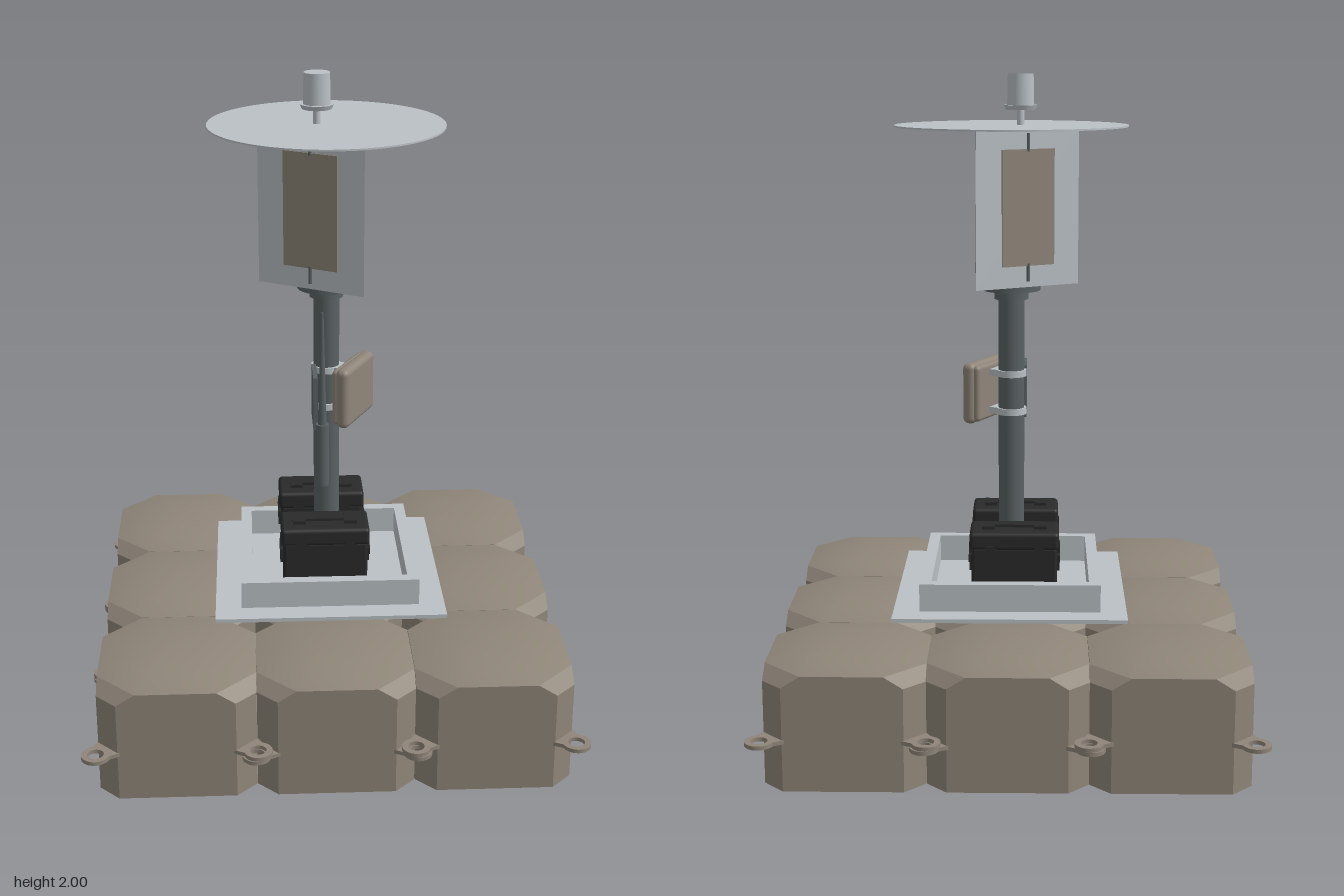
import * as THREE from 'three';
import { toCreasedNormals } from 'three/addons/utils/BufferGeometryUtils.js';
import { RoundedBoxGeometry } from 'three/addons/geometries/RoundedBoxGeometry.js';

const material = (name, color) => Object.assign(new THREE.MeshStandardMaterial({ color }), { name });

export function createModel() {
  const taupe = material('taupe plastic', 0x8f8579);
  const light = material('light grey metal', 0xbac1c5);
  const dark = material('dark grey metal', 0x5a6263);
  const black = material('black plastic', 0x2a2a2a);

  const model = new THREE.Group();
  model.name = 'floatingMonitoringStation';

  const add = (parent, name, geo, mat, x = 0, y = 0, z = 0) => {
    const mesh = new THREE.Mesh(geo, mat);
    mesh.name = name;
    mesh.position.set(x, y, z);
    parent.add(mesh);
    return mesh;
  };
  const group = (name, parent = model) => {
    const g = new THREE.Group();
    g.name = name;
    parent.add(g);
    return g;
  };
  const box = (w, h, d) => new THREE.BoxGeometry(w, h, d);
  const cyl = (r1, r2, h, n = 32) => new THREE.CylinderGeometry(r1, r2, h, n);

  // Float block: lofted octagons given as [half width, corner cut, height]
  function floatGeometry() {
    const sections = [[0, 0, 0], [0.233, 0.06, 0], [0.233, 0.06, 0.31], [0.233, 0.115, 0.345],
      [0.16, 0.075, 0.367], [0.08, 0.035, 0.378], [0, 0, 0.38]];
    const pos = [], index = [];
    for (const [h, c, y] of sections) {
      const k = h - c;
      for (const [x, z] of [[h, -k], [h, k], [k, h], [-k, h], [-h, k], [-h, -k], [-k, -h], [k, -h]]) pos.push(x, y, z);
    }
    for (let i = 0; i < sections.length - 1; i++) {
      for (let j = 0; j < 8; j++) {
        const a = i * 8 + j, b = i * 8 + (j + 1) % 8;
        if (i < sections.length - 2) index.push(a, a + 8, b + 8);
        if (i > 0) index.push(a, b + 8, b);
      }
    }
    const geo = new THREE.BufferGeometry();
    geo.setAttribute('position', new THREE.Float32BufferAttribute(pos, 3));
    geo.setIndex(index);
    geo.computeVertexNormals();
    return toCreasedNormals(geo, 0.4);
  }

  // Coupling lug: flat tab with a rounded eye, pointing along +x
  function lugGeometry() {
    const s = new THREE.Shape();
    s.moveTo(-0.06, -0.05);
    s.lineTo(-0.02, -0.037);
    s.absarc(0, 0, 0.042, -2.07, 2.07, false);
    s.lineTo(-0.06, 0.05);
    s.closePath();
    const hole = new THREE.Path();
    hole.absarc(0, 0, 0.024, 0, Math.PI * 2, true);
    s.holes.push(hole);
    const geo = new THREE.ExtrudeGeometry(s, { depth: 0.012, bevelEnabled: false, curveSegments: 16 });
    return geo.translate(0, 0, -0.006).rotateX(-Math.PI / 2);
  }

  // Raft of nine floats, lugs alternating in height so neighbours overlap
  const raft = group('raft');
  const floatGeo = floatGeometry(), lugGeo = lugGeometry();
  for (let i = -1; i <= 1; i++) {
    for (let j = -1; j <= 1; j++) {
      const block = group('float', raft);
      block.position.set(i * 0.467, 0, j * 0.467);
      add(block, 'floatBody', floatGeo, taupe);
      const y = (i + j) % 2 === 0 ? 0.149 : 0.136;
      for (const sx of [-1, 1]) for (const sz of [-1, 1]) {
        add(block, 'couplingLug', lugGeo, taupe, sx * 0.236, y, sz * 0.236).rotation.y = -Math.atan2(sz, sx);
      }
    }
  }

  // Deck plate with an open tray
  const deck = group('deck');
  add(deck, 'deckPlate', box(0.71, 0.012, 0.71), light, 0, 0.392, 0);
  for (const s of [-1, 1]) {
    add(deck, 'traySideWall', box(0.035, 0.085, 0.566), light, s * 0.2575, 0.4405, 0);
    add(deck, 'trayEndWall', box(0.48, 0.085, 0.035), light, 0, 0.4405, s * 0.2655);
  }

  // Two battery cases with lid, latches and carry handle
  for (const s of [-1, 1]) {
    const battery = group('batteryCase');
    battery.position.set(-0.012, 0, s * 0.14);
    add(battery, 'caseBody', new RoundedBoxGeometry(0.262, 0.18, 0.138, 2, 0.01), black, 0, 0.488, 0);
    add(battery, 'caseLid', new RoundedBoxGeometry(0.274, 0.055, 0.15, 2, 0.012), black, 0, 0.598, 0);
    for (const e of [-1, 1]) {
      add(battery, 'endRib', box(0.012, 0.09, 0.03), black, e * 0.134, 0.535, 0);
      add(battery, 'endGrip', box(0.014, 0.022, 0.08), black, e * 0.134, 0.535, 0);
      add(battery, 'lidCleat', box(0.04, 0.012, 0.06), black, e * 0.08, 0.629, 0);
      for (const f of [-1, 1]) add(battery, 'latch', box(0.03, 0.05, 0.01), black, e * 0.075, 0.56, f * 0.071);
    }
    add(battery, 'carryHandle', box(0.12, 0.008, 0.022), black, 0, 0.631, 0);
  }

  // Mast
  const mast = group('mast');
  add(mast, 'mastFoot', cyl(0.075, 0.075, 0.02), light, 0, 0.408, 0);
  add(mast, 'mastPole', cyl(0.04, 0.04, 0.93), dark, 0, 0.865, 0);
  add(mast, 'mastCollar', cyl(0.052, 0.052, 0.03), dark, 0, 1.332, 0);
  add(mast, 'mastFlange', cyl(0.09, 0.09, 0.02), dark, 0, 1.355, 0);

  // Control box clamped to the mast
  const control = group('controlBox');
  control.position.set(0.078, 1.025, 0.04);
  control.rotation.y = -0.47;
  add(control, 'boxBack', new RoundedBoxGeometry(0.025, 0.175, 0.2, 3, 0.012), taupe, -0.014, 0, 0);
  add(control, 'boxFront', new RoundedBoxGeometry(0.042, 0.19, 0.218, 4, 0.018), taupe, 0.01, 0, 0);
  for (const y of [0.965, 1.085]) {
    add(mast, 'clampRing', cyl(0.047, 0.047, 0.02), light, 0, y, 0);
    add(mast, 'clampBlock', box(0.03, 0.02, 0.06), light, 0.045, y, 0.02).rotation.y = -0.47;
  }

  // Whip antenna on a side bracket
  const antenna = group('antenna');
  add(antenna, 'antennaBracket', box(0.014, 0.165, 0.13), dark, -0.04, 1.02, 0.09);
  add(antenna, 'antennaBase', cyl(0.02, 0.02, 0.2, 20), dark, -0.02, 0.86, 0.168);
  add(antenna, 'antennaWhip', cyl(0.004, 0.013, 0.355, 16), dark, -0.02, 1.1375, 0.168);

  // Three-sided housing with one flat panel on each face
  const head = group('sensorHead');
  const prism = new THREE.CylinderGeometry(0.205, 0.205, 0.48, 3, 1, false, -Math.PI / 2);
  add(head, 'headHousing', toCreasedNormals(prism, 0.5), light, 0, 1.605, 0);
  for (let i = 0; i < 3; i++) {
    const face = group('headFace', head);
    face.rotation.y = i * Math.PI * 2 / 3;
    add(face, 'facePanel', box(0.006, 0.35, 0.18), taupe, 0.1035, 1.605, 0);
    for (const s of [-1, 1]) {
      add(face, 'panelClip', cyl(0.005, 0.005, 0.055, 8), dark, 0.105, 1.605 + s * 0.195, 0);
    }
  }

  // Round top plate and lantern
  add(model, 'topPlate', cyl(0.355, 0.355, 0.005, 64), light, 0, 1.8455, 0);
  const lantern = group('lantern');
  lantern.position.x = -0.028;
  add(lantern, 'lanternStem', cyl(0.011, 0.011, 0.05, 16), light, 0, 1.87, 0);
  add(lantern, 'lanternBase', cyl(0.051, 0.045, 0.014), light, 0, 1.9, 0);
  add(lantern, 'lanternBody', cyl(0.039, 0.041, 0.093), light, 0, 1.9535, 0);

  return model;
}
